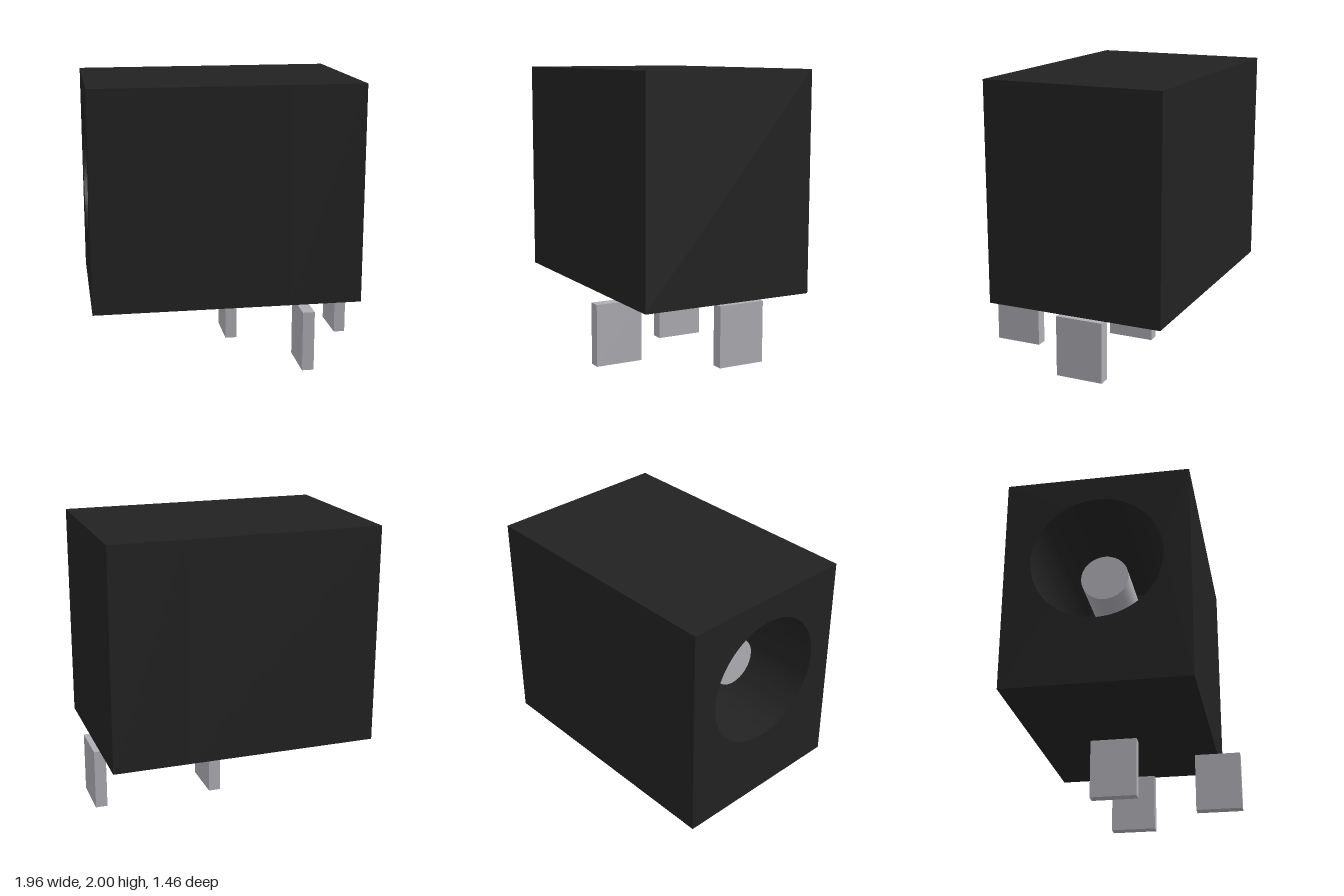
import * as THREE from 'three';

const plastic = new THREE.MeshStandardMaterial({ color: 0x222222 });
plastic.name = 'black plastic';
const metal = new THREE.MeshStandardMaterial({ color: 0xaeaeb4 });
metal.name = 'grey metal';

// Housing extents and the socket bored into its -x end
const X0 = -0.98, X1 = 0.94, Y0 = 0.43, Y1 = 2, Z0 = -0.73, Z1 = 0.56;
const AXIS_Y = 1.36, AXIS_Z = (Z0 + Z1) / 2;
const BORE_RADIUS = 0.46, BORE_END = 0.42;
const PIN_RADIUS = 0.17, PIN_TIP = X0 + 0.29;

function add(group, name, geometry, material) {
  const mesh = new THREE.Mesh(geometry, material);
  mesh.name = name;
  group.add(mesh);
}

function boxBetween(x0, x1, y0, y1, z0, z1) {
  return new THREE.BoxGeometry(x1 - x0, y1 - y0, z1 - z0)
    .translate((x0 + x1) / 2, (y0 + y1) / 2, (z0 + z1) / 2);
}

export function createModel() {
  const group = new THREE.Group();
  group.name = 'powerSocket';

  // Bored part of the housing: a rectangle with a round hole, extruded towards -x
  const face = new THREE.Shape();
  face.moveTo(Z0, Y0).lineTo(Z1, Y0).lineTo(Z1, Y1).lineTo(Z0, Y1).closePath();
  const bore = new THREE.Path();
  bore.absarc(AXIS_Z, AXIS_Y, BORE_RADIUS, 0, Math.PI * 2, true);
  face.holes.push(bore);
  const sleeve = new THREE.ExtrudeGeometry(face, {
    depth: BORE_END - X0, bevelEnabled: false, curveSegments: 48,
  }).rotateY(-Math.PI / 2).translate(BORE_END, 0, 0);
  add(group, 'housingSleeve', sleeve, plastic);

  // Solid rear of the housing, which closes the bore
  add(group, 'housingRear', boxBetween(BORE_END, X1, Y0, Y1, Z0, Z1), plastic);

  // Centre pin inside the bore
  const pin = new THREE.CylinderGeometry(PIN_RADIUS, PIN_RADIUS, BORE_END - PIN_TIP, 32)
    .rotateZ(Math.PI / 2)
    .translate((PIN_TIP + BORE_END) / 2, AXIS_Y, AXIS_Z);
  add(group, 'centrePin', pin, metal);

  // Solder tabs: x and z centres
  const tabs = { innerTab: [0.085, -0.155], sideTab: [0.515, 0.56], rearTab: [0.94, -0.155] };
  for (const [name, [x, z]] of Object.entries(tabs)) {
    add(group, name, boxBetween(x - 0.042, x + 0.042, 0, Y0, z - 0.17, z + 0.17), metal);
  }
  return group;
}
